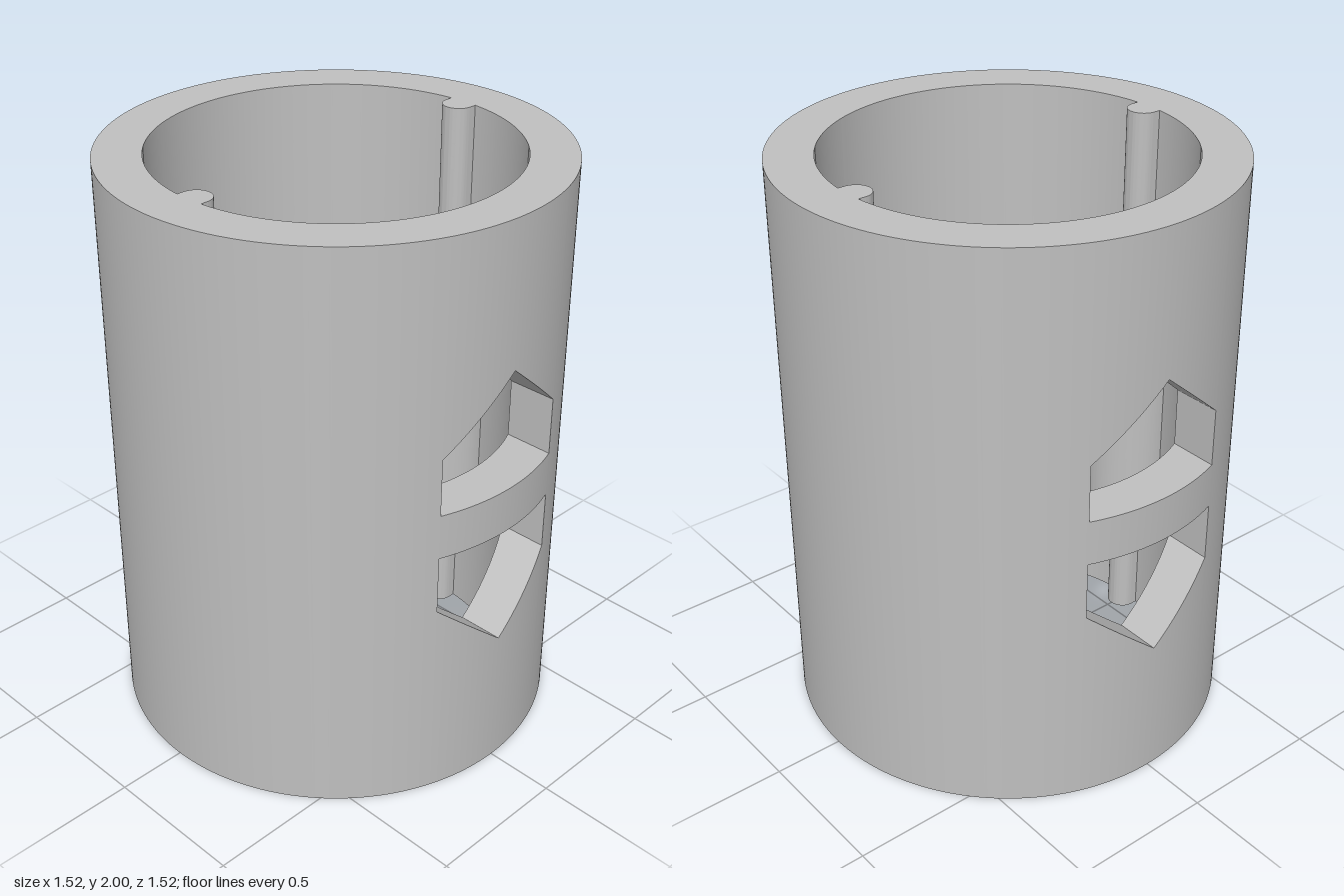
import * as THREE from 'three';
import { toCreasedNormals } from 'three/addons/utils/BufferGeometryUtils.js';

const OUTER = 0.758, INNER = 0.6, HEIGHT = 2;
const HALF = 0.26;                 // half width of the windows
const RIB_X = 0.573, RIB_R = 0.053, BOSS_R = 0.163;

// Extrudes a plan shape upward from y0
function upright(shape, y0, height) {
  const geo = new THREE.ExtrudeGeometry(shape, { depth: height, bevelEnabled: false, curveSegments: 48 });
  geo.rotateX(-Math.PI / 2).translate(0, y0, 0);
  return toCreasedNormals(geo, 0.5);
}

// Side wall on +x, with the slim full-height rib on its inner face
function sideWallShape() {
  const a = Math.acos(HALF / OUTER), b = Math.acos(HALF / INNER), c = Math.asin(RIB_R / INNER);
  const s = new THREE.Shape();
  s.absarc(0, 0, OUTER, -a, a, false);
  s.absarc(0, 0, INNER, b, c, true);
  s.absarc(RIB_X, 0, RIB_R, Math.PI / 2, Math.PI * 1.5, false);
  s.absarc(0, 0, INNER, -c, -b, true);
  s.closePath();
  return s;
}

// Half-round boss, sunk into the wall
function bossShape() {
  const s = new THREE.Shape();
  s.moveTo(0.66, BOSS_R);
  s.absarc(RIB_X, 0, BOSS_R, Math.PI / 2, Math.PI * 1.5, false);
  s.lineTo(0.66, -BOSS_R);
  s.closePath();
  return s;
}

// Curved strip of the front wall between two heights given as functions of x
function curvedPanel(low, high) {
  const N = 24, pos = [];
  const quad = (a, b, c, d) => pos.push(...a, ...b, ...c, ...a, ...c, ...d);
  const column = (i) => {
    const x = -HALF + (2 * HALF * i) / N;
    const zo = Math.sqrt(OUTER ** 2 - x * x), zi = Math.sqrt(INNER ** 2 - x * x);
    const l = low(x), h = high(x);
    return { ol: [x, l, zo], oh: [x, h, zo], il: [x, l, zi], ih: [x, h, zi] };
  };
  for (let i = 0; i < N; i++) {
    const p = column(i), q = column(i + 1);
    quad(p.ol, q.ol, q.oh, p.oh);   // outside
    quad(q.il, p.il, p.ih, q.ih);   // inside
    quad(p.oh, q.oh, q.ih, p.ih);   // top
    quad(p.il, q.il, q.ol, p.ol);   // underside
  }
  const geo = new THREE.BufferGeometry();
  geo.setAttribute('position', new THREE.Float32BufferAttribute(pos, 3));
  return toCreasedNormals(geo, 0.5);
}

export function createModel() {
  const model = new THREE.Group();
  model.name = 'windowedSleeve';
  const grey = new THREE.MeshStandardMaterial({ color: 0xbfbfbf });
  grey.name = 'grey';

  const slope = (x) => 0.22 * (1 - Math.abs(x) / HALF);   // pointed window ends
  const parts = [
    ['sideWall', upright(sideWallShape(), 0, HEIGHT)],
    ['innerBoss', upright(bossShape(), 0.5, 1)],
    ['lowerPanel', curvedPanel(() => 0, (x) => 0.72 - slope(x))],
    ['windowBar', curvedPanel(() => 0.923, () => 1.08)],
    ['upperPanel', curvedPanel((x) => 1.28 + slope(x), () => HEIGHT)],
  ];

  // The sleeve is two identical halves, turned about the upright axis
  for (const [name, turn] of [['frontHalf', 0], ['backHalf', Math.PI]]) {
    const half = new THREE.Group();
    half.name = name;
    half.rotation.y = turn;
    for (const [part, geo] of parts) {
      const mesh = new THREE.Mesh(geo, grey);
      mesh.name = part;
      half.add(mesh);
    }
    model.add(half);
  }
  return model;
}
